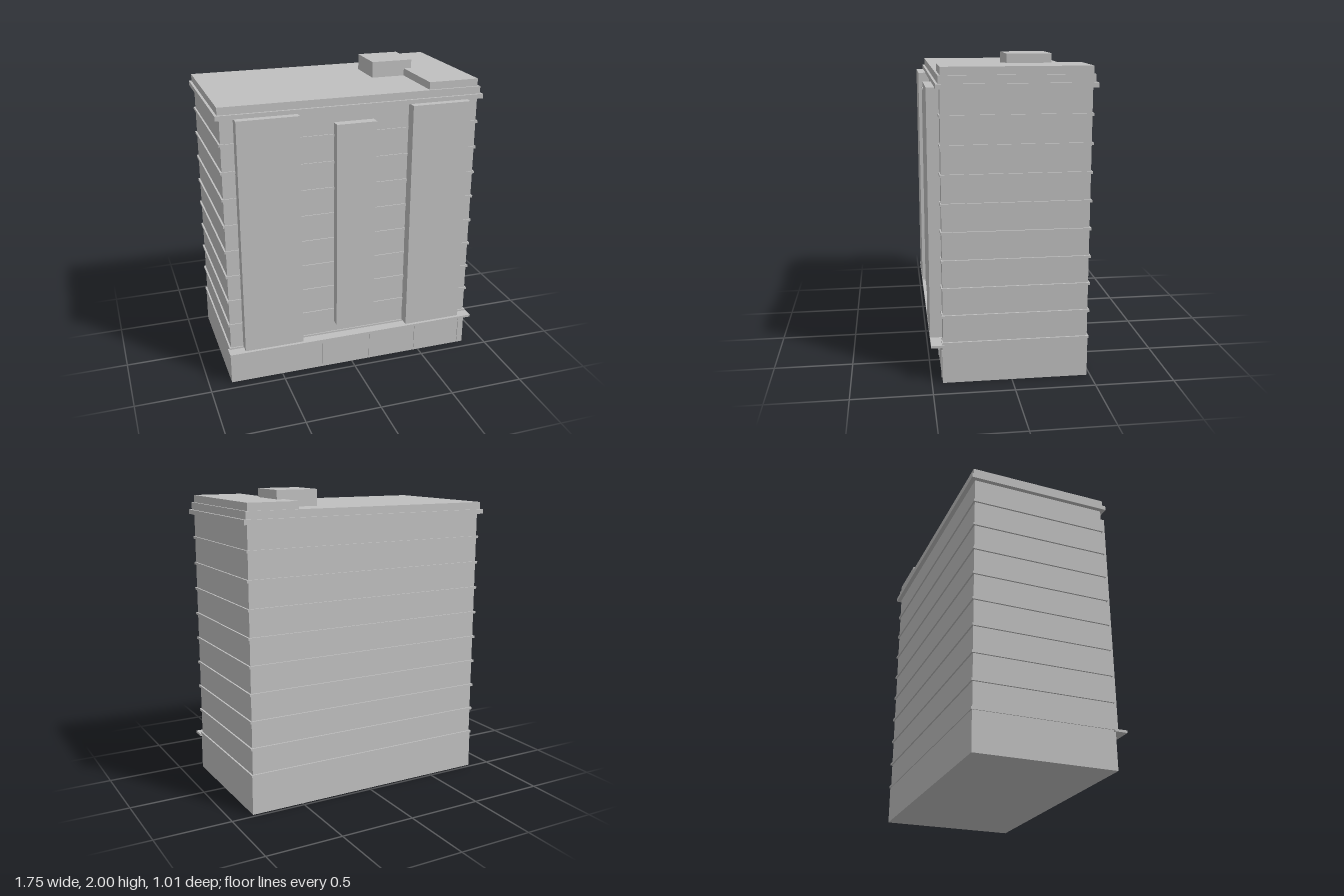
import * as THREE from 'three';

export function createModel() {
  const model = new THREE.Group();
  model.name = 'officeBlock';
  const concrete = new THREE.MeshStandardMaterial({ color: 0xc0c0c0 });
  concrete.name = 'concreteGrey';

  // Box given by its limits on each axis
  function block(name, [x0, x1], [y0, y1], [z0, z1]) {
    const mesh = new THREE.Mesh(new THREE.BoxGeometry(x1 - x0, y1 - y0, z1 - z0), concrete);
    mesh.position.set((x0 + x1) / 2, (y0 + y1) / 2, (z0 + z1) / 2);
    mesh.name = name;
    model.add(mesh);
  }

  // Ground floor and main body
  block('groundFloor', [-0.85, 0.85], [0, 0.25], [-0.478, 0.432]);
  block('mainBody', [-0.844, 0.844], [0.25, 1.82], [-0.474, 0.428]);

  // Thin bands at each storey
  for (let i = 0; i < 9; i++) {
    const y = 0.258 + i * 0.175;
    block('floorBand' + (i + 1), [-0.855, 0.855], [y - 0.008, y + 0.008], [-0.484, 0.435]);
  }

  // Entrance canopy and shopfront dividers
  block('canopy', [-0.864, 0.864], [0.238, 0.254], [0.42, 0.503]);
  for (const x of [-0.21, 0.13, 0.47, 0.81]) {
    block('shopfrontDivider', [x - 0.004, x + 0.004], [0.02, 0.2], [0.43, 0.438]);
  }

  // Projecting facade bays
  block('rightBay', [-0.761, -0.368], [0.267, 1.82], [0.42, 0.503]);
  block('leftBay', [0.368, 0.761], [0.267, 1.82], [0.42, 0.503]);
  block('centreBay', [-0.131, 0.131], [0.342, 1.74], [0.42, 0.49]);

  // Cornice and roof
  block('cornice', [-0.873, 0.873], [1.817, 1.847], [-0.503, 0.453]);
  block('roofSlab', [-0.857, 0.857], [1.847, 1.895], [-0.488, 0.438]);
  block('roofAnnex', [0.507, 0.843], [1.89, 1.943], [-0.478, 0.425]);
  block('liftHouse', [0.281, 0.56], [1.89, 2], [-0.28, 0]);

  return model;
}
